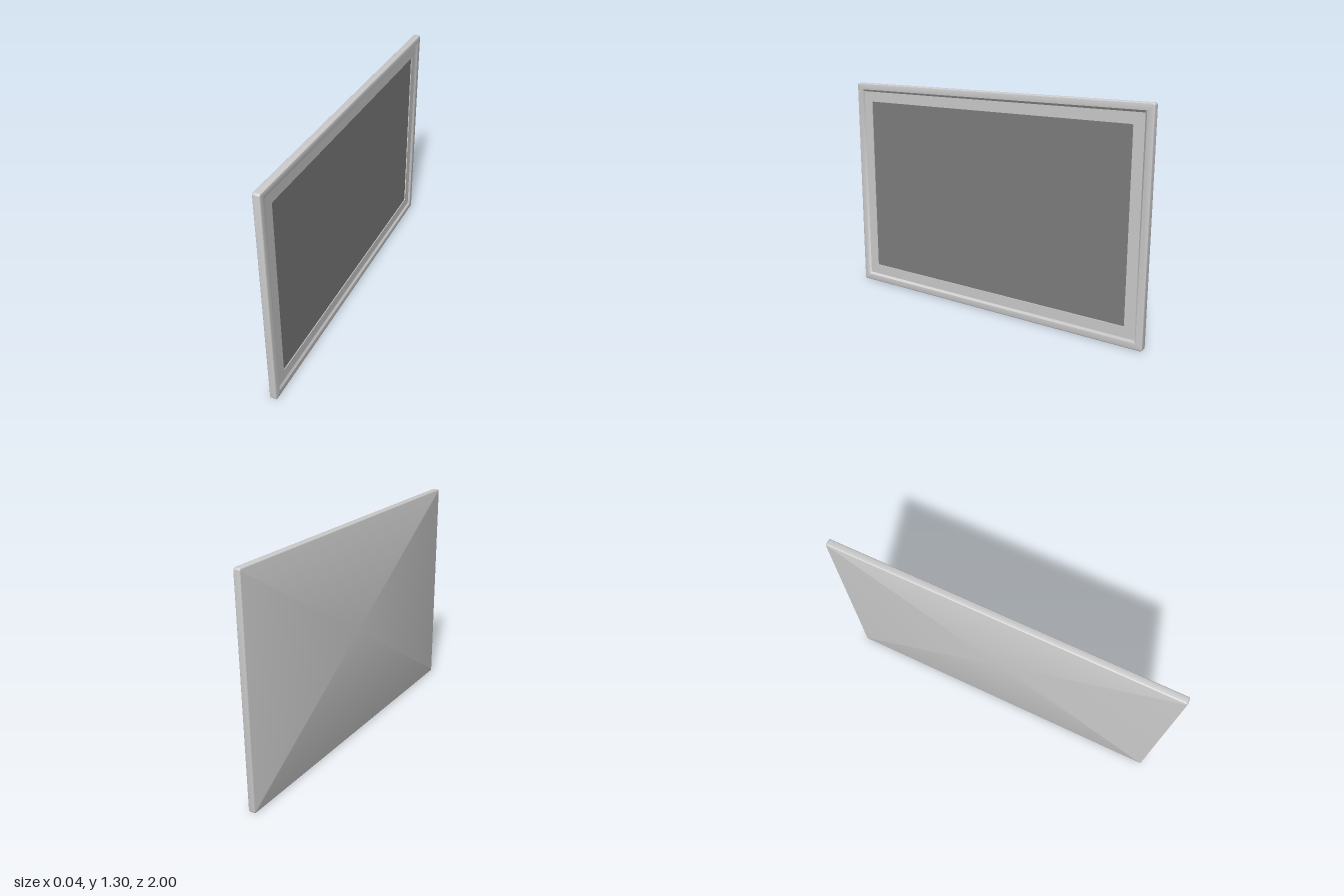
import * as THREE from 'three';
import { toCreasedNormals } from 'three/addons/utils/BufferGeometryUtils.js';

const W = 2, H = 1.3, T = 0.02, BEVEL = 0.005, STEPS = 4;

// rounded rectangle in the plane x, counter-clockwise as seen from +x
function ring({ inset, x, r }) {
  const pts = [];
  const a = W / 2 - inset - r, b = H / 2 - inset - r;
  [[1, 1], [-1, 1], [-1, -1], [1, -1]].forEach(([su, sv], corner) => {
    for (let k = 0; k <= STEPS; k++) {
      const t = (corner + k / STEPS) * Math.PI / 2;
      pts.push([x, H / 2 + sv * b + r * Math.sin(t), -(su * a + r * Math.cos(t))]);
    }
  });
  return pts;
}

// skin a list of rings; optionally close the first (facing -x) or the last (facing +x)
function loft(profile, capBack, capFront) {
  const n = 4 * (STEPS + 1);
  const pos = [], index = [];
  profile.forEach(p => ring(p).forEach(v => pos.push(...v)));
  for (let i = 0; i < profile.length - 1; i++) {
    for (let j = 0; j < n; j++) {
      const a = i * n + j, b = i * n + (j + 1) % n;
      index.push(a, b, b + n, a, b + n, a + n);
    }
  }
  const cap = (start, x, flip) => {
    const c = pos.length / 3;
    pos.push(x, H / 2, 0);
    for (let j = 0; j < n; j++) {
      const a = start + j, b = start + (j + 1) % n;
      if (flip) index.push(c, b, a);
      else index.push(c, a, b);
    }
  };
  if (capBack) cap(0, profile[0].x, true);
  if (capFront) cap((profile.length - 1) * n, profile[profile.length - 1].x, false);
  const g = new THREE.BufferGeometry();
  g.setAttribute('position', new THREE.Float32BufferAttribute(pos, 3));
  g.setIndex(index);
  return toCreasedNormals(g, 0.6);
}

export function createModel() {
  const group = new THREE.Group();
  const add = (name, geometry, color) => {
    const mesh = new THREE.Mesh(geometry, new THREE.MeshStandardMaterial({ color }));
    mesh.name = name;
    group.add(mesh);
  };

  const rimX = T, borderX = T - 0.01, panelX = T - 0.015;

  // outer frame: flat back, rounded edges, raised rim and sloped step
  const frame = [];
  for (const side of [-1, 1]) {
    for (let k = 0; k <= 3; k++) {
      const t = (side < 0 ? 3 - k : k) / 3 * Math.PI / 2;
      const inset = BEVEL * (1 - Math.cos(t));
      frame.push({ inset, x: side * (T - BEVEL + BEVEL * Math.sin(t)), r: 0.012 - inset });
    }
  }
  frame.push({ inset: 0.038, x: rimX, r: 0.006 }, { inset: 0.05, x: borderX, r: 0.005 });
  add('frame', loft(frame, true, false), 0xcccccc);

  // flat inner border with the small wall down to the panel
  add('innerBorder', loft([
    { inset: 0.05, x: borderX, r: 0.005 },
    { inset: 0.112, x: borderX, r: 0.008 },
    { inset: 0.112, x: panelX, r: 0.008 },
  ], false, false), 0xcccccc);

  // recessed dark panel
  add('panel', loft([{ inset: 0.112, x: panelX, r: 0.008 }], false, true), 0x7d7d7d);

  return group;
}
